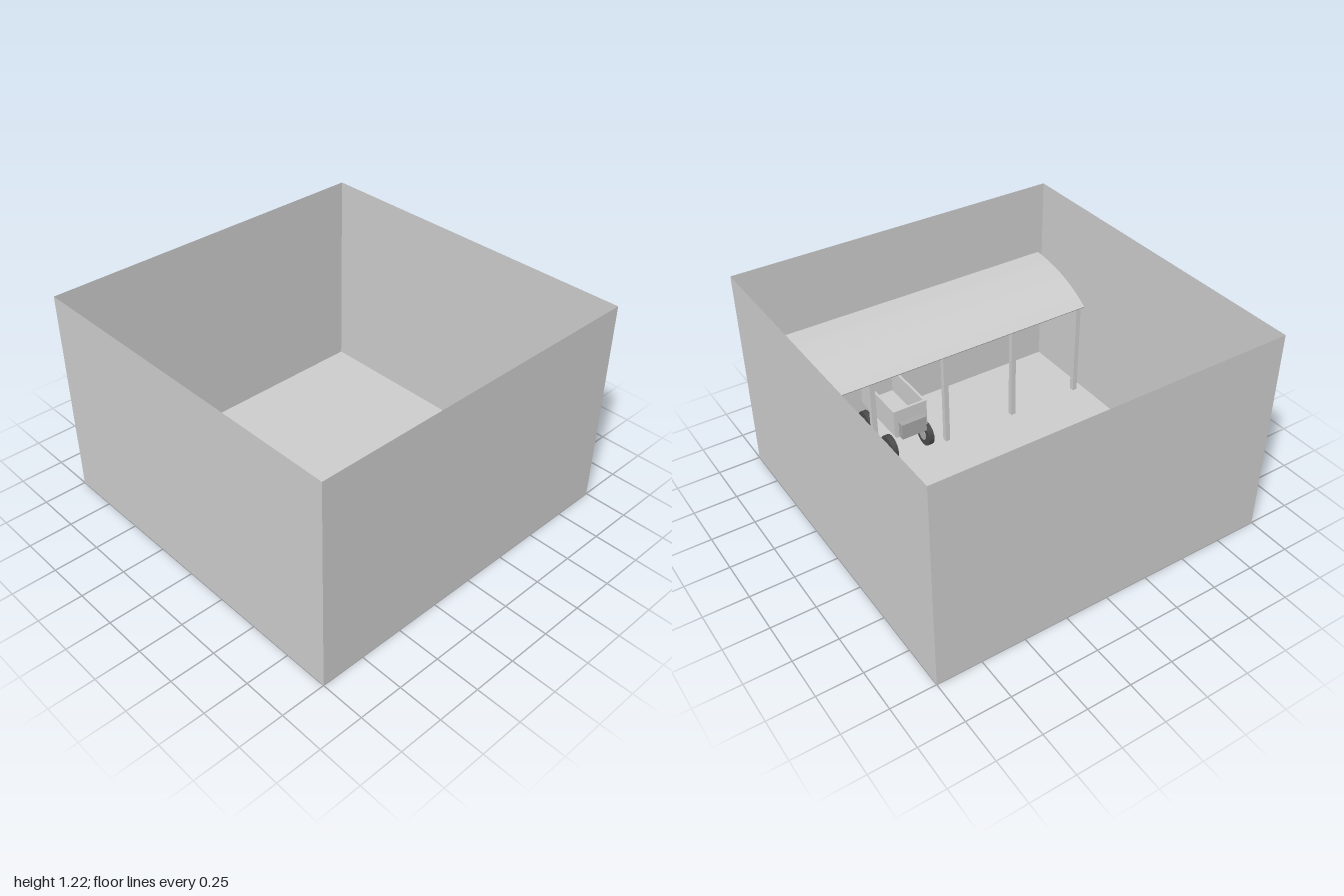
import * as THREE from 'three';

const grey = new THREE.MeshStandardMaterial({ name: 'concreteGrey', color: 0xcccccc, side: THREE.DoubleSide });
const steel = new THREE.MeshStandardMaterial({ name: 'steelGrey', color: 0xa8a8a8 });
const green = new THREE.MeshStandardMaterial({ name: 'brightGreen', color: 0x22d858 });
const dark = new THREE.MeshStandardMaterial({ name: 'tyreGrey', color: 0x4a4a4a });

function add(parent, name, geo, mat, x = 0, y = 0, z = 0) {
  const mesh = new THREE.Mesh(geo, mat);
  mesh.name = name;
  mesh.position.set(x, y, z);
  parent.add(mesh);
  return mesh;
}

const box = (w, h, d) => new THREE.BoxGeometry(w, h, d);

// Faceted hull from cross-sections [z, lower half width, upper half width, bottom, top]
function hull(sections) {
  const n = sections.length - 1;
  const geo = new THREE.BoxGeometry(2, 1, 1, 1, 1, n);
  const p = geo.attributes.position;
  for (let i = 0; i < p.count; i++) {
    const [z, lower, upper, bottom, top] = sections[Math.round((p.getZ(i) + 0.5) * n)];
    const up = p.getY(i) > 0;
    p.setXYZ(i, p.getX(i) * (up ? upper : lower), up ? top : bottom, z);
  }
  const flat = geo.toNonIndexed();
  flat.computeVertexNormals();
  return flat;
}

function wheel(parent, x, z, r, w) {
  const g = new THREE.CylinderGeometry(r, r, w, 20).rotateZ(Math.PI / 2);
  add(parent, 'tyre', g, dark, x, r, z);
  const hub = new THREE.CylinderGeometry(r * 0.5, r * 0.5, w + 0.01, 12).rotateZ(Math.PI / 2);
  add(parent, 'hub', hub, steel, x, r, z);
}

function bar(parent, name, points, r, mat) {
  const path = new THREE.CatmullRomCurve3(points.map(p => new THREE.Vector3(...p)));
  add(parent, name, new THREE.TubeGeometry(path, 16, r, 8), mat);
}

// Open yard with thin walls
function createYard() {
  const yard = new THREE.Group();
  yard.name = 'yard';
  const H = 1.215;
  add(yard, 'floor', new THREE.PlaneGeometry(2, 2).rotateX(-Math.PI / 2), grey);
  for (let i = 0; i < 4; i++) {
    const a = i * Math.PI / 2;
    const wall = add(yard, 'wall', new THREE.PlaneGeometry(2, H), grey, Math.sin(a), H / 2, Math.cos(a));
    wall.rotation.y = a;
  }
  return yard;
}

// Curved lean-to roof along the front wall, carried by posts
function createCanopy() {
  const canopy = new THREE.Group();
  canopy.name = 'canopy';
  const s = new THREE.Shape();
  s.moveTo(0.51, 0.61);
  s.quadraticCurveTo(0.71, 0.75, 0.998, 0.76);
  s.lineTo(0.998, 0.752);
  s.quadraticCurveTo(0.71, 0.742, 0.515, 0.602);
  const roof = new THREE.ExtrudeGeometry(s, { depth: 1.94, bevelEnabled: false, curveSegments: 12 });
  roof.rotateY(-Math.PI / 2).translate(0.97, 0, 0);
  add(canopy, 'roof', roof, grey);
  for (const x of [-0.94, -0.47, 0, 0.47]) {
    add(canopy, 'post', box(0.03, 0.62, 0.03), grey, x, 0.31, 0.54);
  }
  return canopy;
}

// Green buggy, nose towards -z
function createBuggy() {
  const buggy = new THREE.Group();
  buggy.name = 'buggy';
  add(buggy, 'body', hull([
    [0.245, 0.05, 0.055, 0.10, 0.15],
    [0.28, 0.065, 0.06, 0.08, 0.18],
    [0.38, 0.10, 0.075, 0.07, 0.21],
    [0.43, 0.14, 0.09, 0.07, 0.23],
    [0.51, 0.15, 0.11, 0.07, 0.25],
    [0.64, 0.15, 0.13, 0.07, 0.26],
    [0.84, 0.12, 0.11, 0.08, 0.27],
    [0.92, 0.10, 0.09, 0.11, 0.25]
  ]), green);
  add(buggy, 'hoodPanel', hull([
    [0.33, 0.045, 0.045, 0.19, 0.203],
    [0.43, 0.062, 0.062, 0.225, 0.236]
  ]), green);
  add(buggy, 'frontBumper', box(0.13, 0.03, 0.012), steel, 0, 0.11, 0.243);
  add(buggy, 'dashboard', box(0.15, 0.02, 0.03), steel, 0, 0.26, 0.51);
  add(buggy, 'seat', box(0.13, 0.08, 0.03), dark, 0, 0.29, 0.68);
  add(buggy, 'rearWing', box(0.27, 0.012, 0.09), green, 0, 0.37, 0.88);
  for (const side of [-1, 1]) {
    const fender = hull([
      [0.27, 0.026, 0.024, 0.12, 0.15],
      [0.30, 0.032, 0.028, 0.12, 0.185],
      [0.36, 0.032, 0.028, 0.12, 0.185],
      [0.39, 0.028, 0.026, 0.11, 0.15]
    ]);
    add(buggy, 'frontFender', fender, green, side * 0.112, 0, 0);
    add(buggy, 'rearFender', box(0.045, 0.05, 0.2), green, side * 0.125, 0.215, 0.78);
    add(buggy, 'wingPlate', box(0.012, 0.08, 0.1), green, side * 0.135, 0.355, 0.88);
    add(buggy, 'wingStrut', box(0.015, 0.12, 0.03), green, side * 0.07, 0.31, 0.88);
    wheel(buggy, side * 0.112, 0.33, 0.07, 0.05);
    wheel(buggy, side * 0.125, 0.79, 0.09, 0.05);
    bar(buggy, 'rollBar', [
      [side * 0.1, 0.25, 0.54], [side * 0.09, 0.35, 0.63],
      [side * 0.09, 0.37, 0.74], [side * 0.1, 0.26, 0.85]
    ], 0.009, green);
  }
  add(buggy, 'rollBarCross', box(0.18, 0.015, 0.015), green, 0, 0.37, 0.7);
  buggy.position.x = 0.785;
  return buggy;
}

// Grey open cart parked beside the buggy
function createCart() {
  const cart = new THREE.Group();
  cart.name = 'cart';
  add(cart, 'nose', box(0.16, 0.1, 0.06), steel, 0, 0.22, 0.52);
  add(cart, 'bed', box(0.2, 0.03, 0.4), grey, 0, 0.18, 0.73);
  for (const side of [-1, 1]) {
    add(cart, 'sidePanel', box(0.015, 0.17, 0.4), grey, side * 0.1, 0.265, 0.73);
    add(cart, 'endPanel', box(0.2, 0.17, 0.015), grey, 0, 0.265, 0.73 + side * 0.193);
    for (const z of [0.58, 0.86]) wheel(cart, side * 0.12, z, 0.075, 0.035);
  }
  cart.position.x = 0.24;
  return cart;
}

export function createModel() {
  const model = new THREE.Group();
  model.name = 'walledYard';
  model.add(createYard(), createCanopy(), createBuggy(), createCart());
  return model;
}
